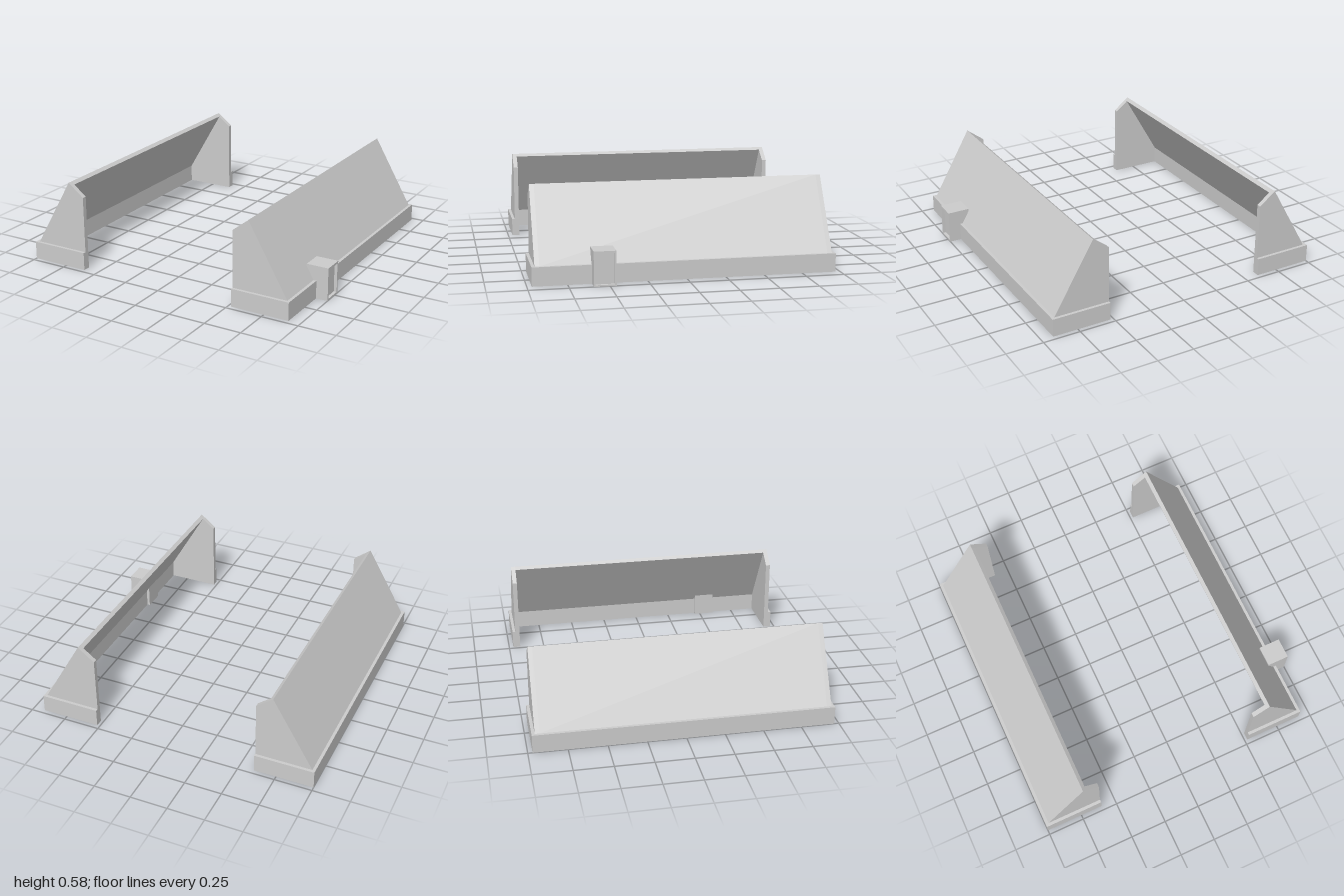
import * as THREE from 'three';

const material = new THREE.MeshStandardMaterial({ color: 0xcccccc, flatShading: true });

function polygon(points) {
  return new THREE.Shape(points.map(([x, y]) => new THREE.Vector2(x, y)));
}

// Extrudes an x-y outline from z0 to z1
function extrude(name, shape, z0, z1) {
  const geometry = new THREE.ExtrudeGeometry(shape, { depth: z1 - z0, bevelEnabled: false });
  geometry.translate(0, 0, z0);
  const mesh = new THREE.Mesh(geometry, material);
  mesh.name = name;
  return mesh;
}

// One lean-to shell: outer side at x = 0, open side at x = 0.4
function createShell(name) {
  const shell = new THREE.Group();
  shell.name = name;

  // U-shaped curb around the foot
  const curb = extrude('curb', polygon([
    [0, -0.97], [0.4, -0.97], [0.4, -0.92], [0.05, -0.92],
    [0.05, 0.92], [0.4, 0.92], [0.4, 0.97], [0, 0.97],
  ]), 0, 0.12);
  curb.rotation.x = -Math.PI / 2;
  shell.add(curb);

  // Sloping panel between the end plates
  shell.add(extrude('slopingPanel', polygon([
    [0.02, 0.12], [0.05, 0.12], [0.313, 0.568], [0.29, 0.585],
  ]), -0.92, 0.92));

  // Upright end plates
  const endOutline = polygon([[0.02, 0.12], [0.4, 0.12], [0.4, 0.5], [0.29, 0.585]]);
  shell.add(extrude('frontEndPlate', endOutline, 0.92, 0.95));
  shell.add(extrude('backEndPlate', endOutline, -0.95, -0.92));
  return shell;
}

// Small box through the panel, with a recessed outer face
function createOutletBox() {
  const box = new THREE.Group();
  box.name = 'outletBox';
  const body = new THREE.Mesh(new THREE.BoxGeometry(0.13, 0.22, 0.14), material);
  body.name = 'boxBody';
  body.position.set(0.915, 0.11, 0.53);
  box.add(body);

  const rimShape = polygon([[-0.07, 0], [0.07, 0], [0.07, 0.22], [-0.07, 0.22]]);
  rimShape.holes.push(polygon([[-0.06, 0.01], [-0.06, 0.205], [0.06, 0.205], [0.06, 0.01]]));
  const rim = extrude('boxRim', rimShape, 0, 0.02);
  rim.rotation.y = Math.PI / 2;
  rim.position.set(0.98, 0, 0.53);
  box.add(rim);
  return box;
}

export function createModel() {
  const model = new THREE.Group();
  model.name = 'facingShells';

  const right = createShell('rightShell');
  right.position.x = -1;
  const left = createShell('leftShell');
  left.rotation.y = Math.PI;
  left.position.x = 0.92;

  model.add(right, left, createOutletBox());
  return model;
}
